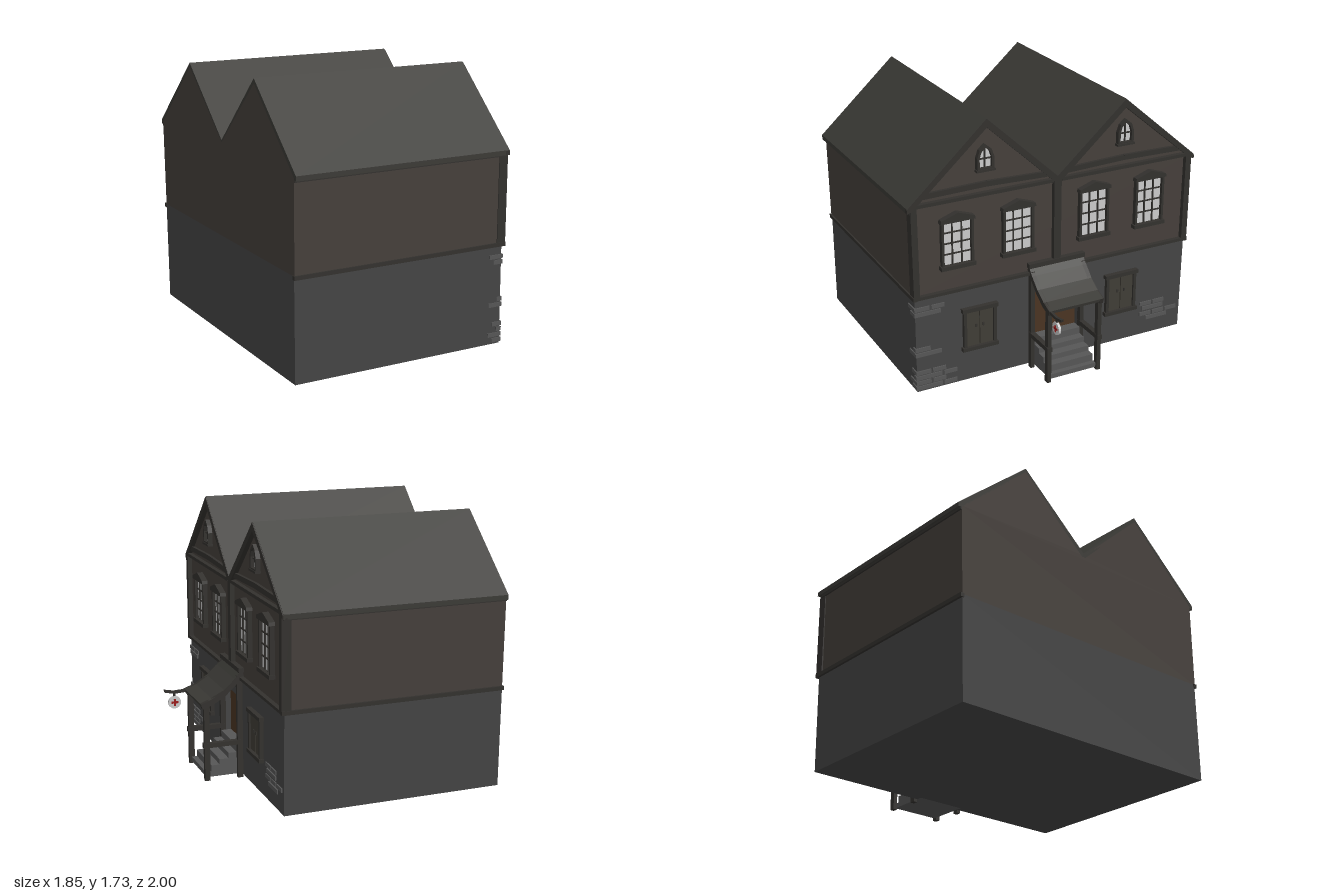
import * as THREE from 'three';

const mat = (color) => new THREE.MeshStandardMaterial({ color, flatShading: true, side: THREE.DoubleSide });
const M = {
  stone: mat(0x444444), brick: mat(0x565656), plaster: mat(0x453f3b), roof: mat(0x3b3a36),
  timber: mat(0x33312e), shutter: mat(0x403d36), door: mat(0x4a3422), glass: mat(0xcccccc), red: mat(0x9b1c1c),
};

export function createModel() {
  const house = new THREE.Group();
  house.name = 'house';

  const add = (name, geo, m, parent = house) => {
    const mesh = new THREE.Mesh(geo, M[m]);
    mesh.name = name;
    parent.add(mesh);
    return mesh;
  };
  const box = (name, m, x0, x1, y0, y1, z0, z1, parent) => {
    const mesh = add(name, new THREE.BoxGeometry(x1 - x0, y1 - y0, Math.abs(z1 - z0)), m, parent);
    mesh.position.set((x0 + x1) / 2, (y0 + y1) / 2, (z0 + z1) / 2);
    return mesh;
  };
  // Prism along x from an outline of [z, y] points, with optional holes
  const prism = (name, m, pts, x0, x1, holes = [], parent) => {
    const vec = (list) => list.map(([z, y]) => new THREE.Vector2(-z, y));
    const shape = new THREE.Shape(vec(pts));
    holes.forEach((h) => shape.holes.push(new THREE.Path(vec(h))));
    const geo = new THREE.ExtrudeGeometry(shape, { depth: x1 - x0, bevelEnabled: false });
    geo.rotateY(Math.PI / 2).translate(x0, 0, 0);
    return add(name, geo, m, parent);
  };
  // Straight board on the facade between two [z, y] points
  const board = (name, m, a, b, w, x0, x1, parent) => {
    const dz = b[0] - a[0], dy = b[1] - a[1], l = Math.hypot(dz, dy);
    const nz = (-dy / l) * w / 2, ny = (dz / l) * w / 2;
    return prism(name, m, [[a[0] + nz, a[1] + ny], [b[0] + nz, b[1] + ny],
      [b[0] - nz, b[1] - ny], [a[0] - nz, a[1] - ny]], x0, x1, [], parent);
  };
  const rect = (z0, z1, y0, y1) => [[z0, y0], [z1, y0], [z1, y1], [z0, y1]];

  // Walls: stone ground floor with a door opening, plaster upper floor with twin gables
  const lower = [[-0.955, 0.02], [0.965, 0.02], [0.965, 0.67], [-0.965, 0.67]];
  prism('groundFloor', 'stone', lower, -0.92, 0.46);
  prism('groundFloorFront', 'stone', lower, 0.46, 0.51, [rect(-0.165, 0.165, 0.2, 0.52)]);
  prism('upperFloor', 'plaster', [[-0.965, 0.67], [0.97, 0.67], [0.975, 1.24], [0.48, 1.7],
    [0, 1.27], [-0.475, 1.68], [-0.975, 1.24]], -0.92, 0.5);

  // Roof slabs with bargeboards on the facade
  const t = 0.04;
  [[0.48, 1.73, 1], [-0.475, 1.705, -1]].forEach(([zp, yp, s]) => {
    const outline = [[0, 1.285], [zp, yp], [s, 1.255], [s, 1.225], [s * 0.97, 1.235], [zp, yp - t], [0, 1.285 - t]];
    prism('gableRoof', 'roof', outline, -0.92, 0.525);
    prism('bargeboard', 'timber', [[0, 1.283], [zp, yp - 0.003], [s, 1.25], [s, 1.225], [s * 0.97, 1.235],
      [zp, yp - 0.055], [0, 1.23]], 0.5, 0.53);
    // Gable tie beams
    board('tieBeam', 'timber', [s * 0.03, 1.258], [s * 0.97, 1.258], 0.022, 0.5, 0.53);
    board('gableBeam', 'timber', [s * 0.07, 1.305], [s * 0.48, 1.318], 0.034, 0.5, 0.52);
    board('gableBeam', 'timber', [s * 0.48, 1.318], [s * 0.9, 1.31], 0.034, 0.5, 0.52);
    // Side belts and corner posts
    box('sideBelt', 'timber', -0.925, 0.53, 0.65, 0.675, s * 0.955, s * 0.98);
    box('eaveBelt', 'timber', -0.92, 0.52, 1.215, 1.24, s * 0.96, s * 0.985);
    const post = prism('cornerPost', 'timber', [[s * 0.935, 0.67], [s * 0.975, 0.67], [s * 0.98, 1.25], [s * 0.94, 1.25]], 0.47, 0.53);
    post.name = 'cornerPost';
    box('frontBelt', 'timber', 0.49, 0.53, 0.653, 0.673, s * 0.18, s * 0.975);
  });
  box('centrePost', 'timber', 0.49, 0.53, 0.7, 1.27, -0.025, 0.025);

  // Upper windows: 3 by 4 panes with pediment and sill
  [[0.68, 1.12], [0.27, 1.12], [-0.265, 1.14], [-0.675, 1.14]].forEach(([z, top]) => {
    const g = new THREE.Group();
    g.name = 'tallWindow';
    house.add(g);
    const h = 0.09, y0 = 0.84;
    box('glass', 'glass', 0.495, 0.508, y0, top, z - h, z + h, g);
    prism('windowFrame', 'timber', rect(z - h - 0.016, z + h + 0.016, y0 - 0.01, top + 0.01), 0.495, 0.53,
      [rect(z - h, z + h, y0, top)], g);
    for (const k of [-1, 1]) box('mullion', 'timber', 0.5, 0.518, y0, top, z + k * 0.031 - 0.004, z + k * 0.031 + 0.004, g);
    for (let i = 1; i < 4; i++) {
      const y = y0 + (top - y0) * i / 4;
      box('glazingBar', 'timber', 0.5, 0.516, y - 0.004, y + 0.004, z - h, z + h, g);
    }
    box('sill', 'timber', 0.495, 0.54, y0 - 0.025, y0, z - 0.115, z + 0.115, g);
    prism('pediment', 'timber', [[z - 0.115, top], [z + 0.115, top], [z + 0.11, top + 0.022],
      [z, top + 0.06], [z - 0.11, top + 0.022]], 0.495, 0.54, [], g);
  });

  // Pointed attic windows
  const arch = (z, w, y0, y1, y2) => [[z - w, y0], [z + w, y0], [z + w, y1], [z + w * 0.7, y1 + (y2 - y1) * 0.6],
    [z, y2], [z - w * 0.7, y1 + (y2 - y1) * 0.6], [z - w, y1]];
  for (const z of [0.49, -0.48]) {
    prism('atticGlass', 'glass', arch(z, 0.04, 1.425, 1.49, 1.55), 0.495, 0.508);
    prism('atticFrame', 'timber', arch(z, 0.056, 1.41, 1.49, 1.572), 0.495, 0.53, [arch(z, 0.04, 1.425, 1.49, 1.55)]);
    box('atticMullion', 'timber', 0.5, 0.518, 1.425, 1.55, z - 0.004, z + 0.004);
    box('atticBar', 'timber', 0.5, 0.518, 1.476, 1.484, z - 0.04, z + 0.04);
    box('atticSill', 'timber', 0.495, 0.535, 1.402, 1.416, z - 0.062, z + 0.062);
  }

  // Shuttered ground-floor windows
  for (const z of [0.54, -0.48]) {
    prism('shutterFrame', 'timber', rect(z - 0.112, z + 0.112, 0.24, 0.515), 0.505, 0.535,
      [rect(z - 0.092, z + 0.092, 0.258, 0.495)]);
    box('shutterLintel', 'timber', 0.505, 0.542, 0.5, 0.525, z - 0.122, z + 0.122);
    box('shutterSill', 'timber', 0.505, 0.542, 0.233, 0.257, z - 0.122, z + 0.122);
    for (const s of [-1, 1]) {
      box('shutter', 'shutter', 0.505, 0.522, 0.258, 0.497, z + s * 0.003, z + s * 0.092);
      box('shutterPull', 'timber', 0.52, 0.53, 0.385, 0.405, z + s * 0.02, z + s * 0.03);
    }
  }

  // Raised bricks: [row y, first z, count, wraps round the corner]
  [[0.585, 0.96, 2, 1], [0.55, 0.96, 2, 1], [0.31, 0.96, 1, 1], [0.275, 0.96, 2, 1], [0.15, 0.96, 2, 1],
    [0.115, 0.96, 3, 1], [0.08, 0.96, 2, 1], [0.045, 0.96, 3, 1], [0.245, -0.64, 2, 0], [0.21, -0.66, 2, 0],
    [0.17, -0.64, 3, 0], [0.135, -0.69, 2, 0]].forEach(([y, z, n, corner], row) => {
    for (let i = 0; i < n; i++) {
      const a = z - i * 0.1 + (i && row % 2 ? 0.025 : 0);
      box('brick', 'brick', 0.5, 0.518, y - 0.013, y + 0.013, a - 0.088, a);
    }
    if (corner) box('cornerBrick', 'brick', 0.42 + 0.03 * (row % 3), 0.518, y - 0.013, y + 0.013, 0.95, 0.972);
  });

  // Door and steps
  box('door', 'door', 0.455, 0.475, 0.2, 0.52, -0.165, 0.165);
  box('doorPlate', 'timber', 0.47, 0.485, 0.44, 0.5, -0.12, -0.095);
  [[0.21, 0.545], [0.165, 0.6], [0.13, 0.66], [0.095, 0.715], [0.05, 0.75]].forEach(([y, x]) =>
    box('step', 'brick', 0.47, x, 0.02, y, -0.165, 0.165));

  // Porch posts and rails
  for (const s of [-1, 1]) {
    const z0 = s * 0.165, z1 = s * 0.192;
    box('rearPost', 'timber', 0.51, 0.545, 0, 0.68, z0, z1);
    box('frontPost', 'timber', 0.73, 0.765, 0.005, 0.52, z0, z1);
    box('rail', 'timber', 0.52, 0.772, 0.225, 0.255, s * 0.163, s * 0.196);
  }
  box('porchLintel', 'timber', 0.73, 0.775, 0.495, 0.52, -0.19, 0.19);
  box('porchHeader', 'timber', 0.5, 0.535, 0.7, 0.73, -0.2, 0.2);

  // Swept canopy, extruded across the porch
  const sweep = (name, m, pts, thick, z0, z1) => {
    const top = pts.map(([x, y]) => new THREE.Vector2(x, y));
    const low = pts.map(([x, y]) => new THREE.Vector2(x - thick * 0.3, y - thick)).reverse();
    const geo = new THREE.ExtrudeGeometry(new THREE.Shape([...top, ...low]), { depth: z1 - z0, bevelEnabled: false });
    return add(name, geo.translate(0, 0, z0), m);
  };
  const curve = [[0.51, 0.715], [0.56, 0.66], [0.63, 0.595], [0.71, 0.545], [0.785, 0.518]];
  sweep('canopy', 'roof', curve, 0.018, -0.19, 0.19);
  for (const s of [-1, 1]) sweep('canopyRafter', 'timber', curve, 0.035, s * 0.18 - 0.014, s * 0.18 + 0.014);

  // Hanging round sign with a cross
  sweep('signArm', 'timber', [[0.75, 0.525], [0.8, 0.515], [0.86, 0.512], [0.925, 0.525]], 0.018, 0.172, 0.19);
  box('signHanger', 'timber', 0.848, 0.862, 0.47, 0.505, 0.177, 0.185);
  const disc = add('signDisc', new THREE.CylinderGeometry(0.042, 0.042, 0.016, 20).rotateX(Math.PI / 2), 'glass');
  disc.position.set(0.855, 0.435, 0.181);
  box('crossUpright', 'red', 0.848, 0.862, 0.412, 0.458, 0.17, 0.192);
  box('crossArm', 'red', 0.832, 0.878, 0.428, 0.442, 0.17, 0.192);

  return house;
}
